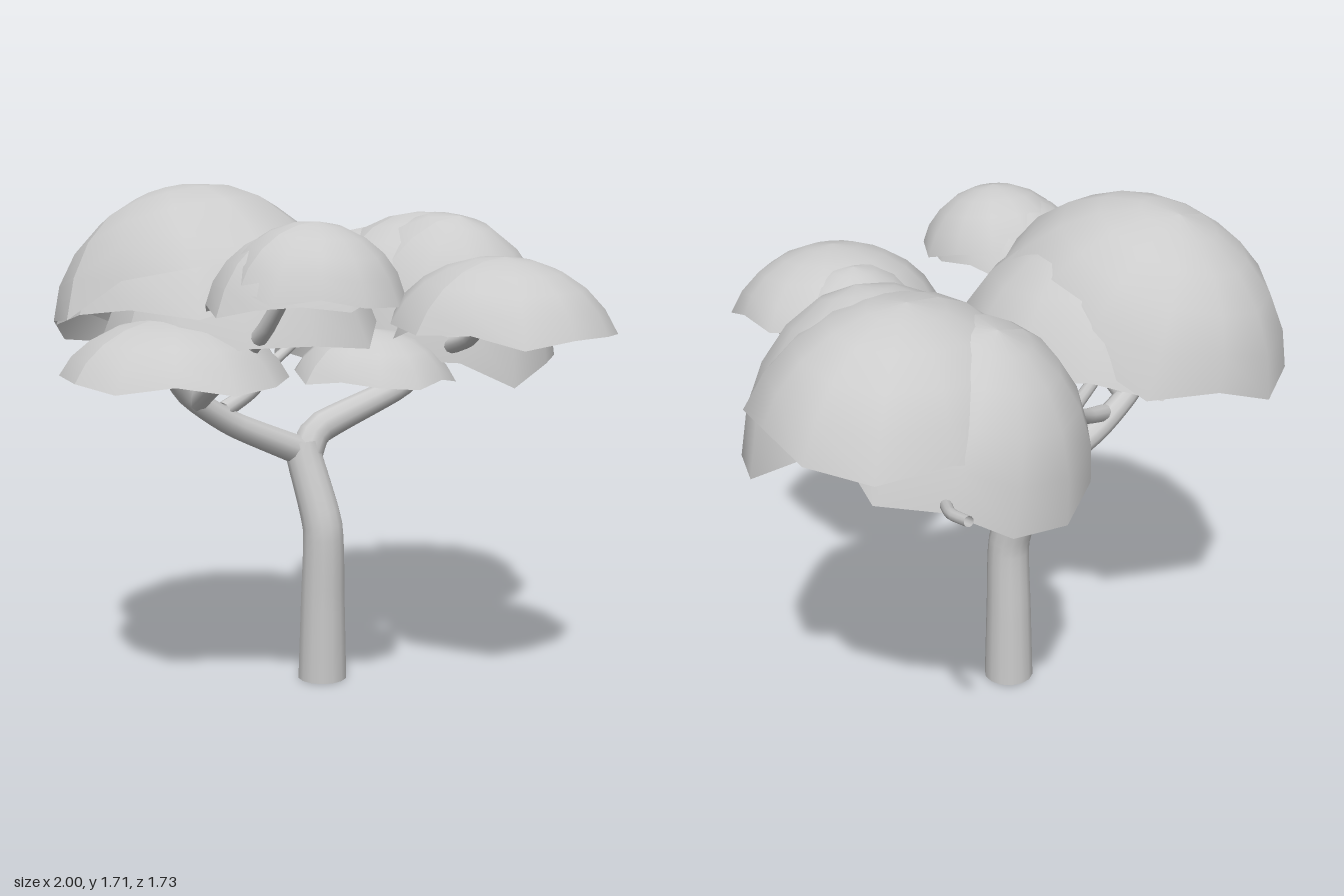
import * as THREE from 'three';

const bark = new THREE.MeshStandardMaterial({ color: 0xcccccc, side: THREE.DoubleSide });
const leaf = new THREE.MeshStandardMaterial({ color: 0xcccccc, side: THREE.DoubleSide });

// Tapered round limb along a list of points
function limb(name, points, r0, r1, sides = 10) {
  const curve = new THREE.CatmullRomCurve3(points.map(p => new THREE.Vector3(...p)), false, 'catmullrom', 0.3);
  const steps = points.length * 4;
  const geo = new THREE.TubeGeometry(curve, steps, 1, sides);
  const pos = geo.attributes.position;
  const v = new THREE.Vector3();
  for (let i = 0; i < pos.count; i++) {
    const t = Math.floor(i / (sides + 1)) / steps;
    const c = curve.getPointAt(t);
    v.fromBufferAttribute(pos, i).sub(c).multiplyScalar(r0 + (r1 - r0) * t).add(c);
    pos.setXYZ(i, v.x, v.y, v.z);
  }
  const mesh = new THREE.Mesh(geo, bark);
  mesh.name = name;
  return mesh;
}

// Open leaf dome: rim centre, half sizes, height, tilt; the rim is ragged
function dome([x, y, z, rx, h, rz, tiltX, tiltZ], seed) {
  const sides = 13, rings = 5, cut = 0.4 * Math.PI;
  const geo = new THREE.SphereGeometry(1, sides, rings, 0, Math.PI * 2, 0, cut);
  const pos = geo.attributes.position;
  for (let i = 0; i < pos.count; i++) {
    const ring = Math.floor(i / (sides + 1)), k = i % (sides + 1) % sides;
    const rag = Math.sin(k * 2.4 + seed * 1.7) * (ring / rings) ** 3;
    const s = (1 + rag * 0.04) / Math.sin(cut);
    const py = (pos.getY(i) - Math.cos(cut)) / (1 - Math.cos(cut));
    pos.setXYZ(i, pos.getX(i) * s * rx, (py - rag * 0.08) * h, pos.getZ(i) * s * rz);
  }
  geo.computeVertexNormals();
  const mesh = new THREE.Mesh(geo, leaf);
  mesh.position.set(x, y, z);
  mesh.rotation.set(tiltX, 0, tiltZ);
  return mesh;
}

export function createModel() {
  const tree = new THREE.Group();
  tree.name = 'tree';

  // Trunk, open at the bottom
  tree.add(limb('trunk', [[-0.075, 0, -0.155], [-0.077, 0.28, -0.148], [-0.08, 0.54, -0.143],
    [-0.1, 0.77, -0.215], [-0.1, 0.82, -0.23]], 0.086, 0.062, 14));

  // Main boughs and thinner branches
  const branches = {
    leftBough: [[[-0.09, 0.79, -0.225], [-0.36, 0.91, -0.27], [-0.53, 1.02, -0.28], [-0.62, 1.14, -0.26], [-0.6, 1.4, -0.3]], 0.052, 0.025],
    rightBough: [[[-0.1, 0.77, -0.215], [-0.03, 0.87, -0.225], [0.3, 1.0, -0.17], [0.41, 1.1, -0.15], [0.53, 1.35, -0.14]], 0.06, 0.028],
    frontLeftBranch: [[[-0.5, 1.0, -0.28], [-0.52, 1.1, -0.1], [-0.54, 1.25, 0.15], [-0.54, 1.45, 0.33]], 0.04, 0.02],
    frontRightBranch: [[[0.3, 1.0, -0.17], [0.33, 1.13, -0.02], [0.24, 1.2, 0.25], [0.14, 1.34, 0.48]], 0.035, 0.018],
    innerBranch: [[[-0.4, 0.96, -0.27], [-0.25, 1.01, -0.32], [-0.12, 1.09, -0.38], [-0.2, 1.22, -0.42], [-0.26, 1.4, -0.45]], 0.03, 0.015],
    crossBranch: [[[-0.12, 1.09, -0.38], [0.05, 1.18, -0.42], [0.2, 1.28, -0.48]], 0.02, 0.013],
    backBranch: [[[0.38, 1.08, -0.16], [0.55, 1.1, -0.34], [0.64, 1.14, -0.56], [0.7, 1.17, -0.67], [0.77, 1.2, -0.77], [0.79, 1.22, -0.86]], 0.024, 0.015],
    backTwig: [[[0.62, 1.13, -0.52], [0.58, 1.26, -0.57], [0.56, 1.42, -0.56]], 0.018, 0.012],
    frontTwig: [[[0.33, 1.13, -0.02], [0.42, 1.22, 0.1], [0.4, 1.26, 0.17], [0.29, 1.28, 0.2]], 0.018, 0.012],
  };
  for (const [name, [pts, r0, r1]] of Object.entries(branches)) tree.add(limb(name, pts, r0, r1));

  // Leaf pads, each of overlapping domes: x, y, z, rx, height, rz, tiltX, tiltZ
  const pads = {
    backLeftFoliage: [
      [-0.46, 1.34, -0.36, 0.46, 0.36, 0.51, -0.32, 0.07],
      [-0.45, 1.29, -0.33, 0.45, 0.36, 0.47, -0.08, 0],
      [-0.33, 1.22, -0.25, 0.46, 0.39, 0.47, 0.04, 0.06],
    ],
    backRightFoliage: [
      [0.53, 1.18, -0.23, 0.42, 0.44, 0.47, 0.28, 0],
      [0.55, 1.3, -0.33, 0.45, 0.32, 0.42, -0.08, 0],
      [0.43, 1.18, -0.44, 0.41, 0.39, 0.41, -0.3, 0.1],
    ],
    frontLeftFoliage: [
      [-0.53, 1.39, 0.39, 0.27, 0.2, 0.28, 0.12, 0],
      [-0.55, 1.35, 0.34, 0.28, 0.22, 0.28, -0.03, 0.05],
    ],
    frontRightFoliage: [
      [0.11, 1.27, 0.52, 0.35, 0.21, 0.36, 0.1, 0.03],
      [0.16, 1.23, 0.36, 0.27, 0.23, 0.26, -0.05, -0.04],
    ],
    lowLeftFoliage: [[-0.65, 1.1, -0.17, 0.36, 0.19, 0.39, 0.03, 0]],
    lowMiddleFoliage: [[0.1, 1.06, -0.09, 0.28, 0.16, 0.28, 0.06, 0]],
  };
  let seed = 1;
  for (const [name, domes] of Object.entries(pads)) {
    const pad = new THREE.Group();
    pad.name = name;
    for (const d of domes) {
      const mesh = dome(d, seed++);
      mesh.name = 'leafDome';
      pad.add(mesh);
    }
    tree.add(pad);
  }
  return tree;
}
